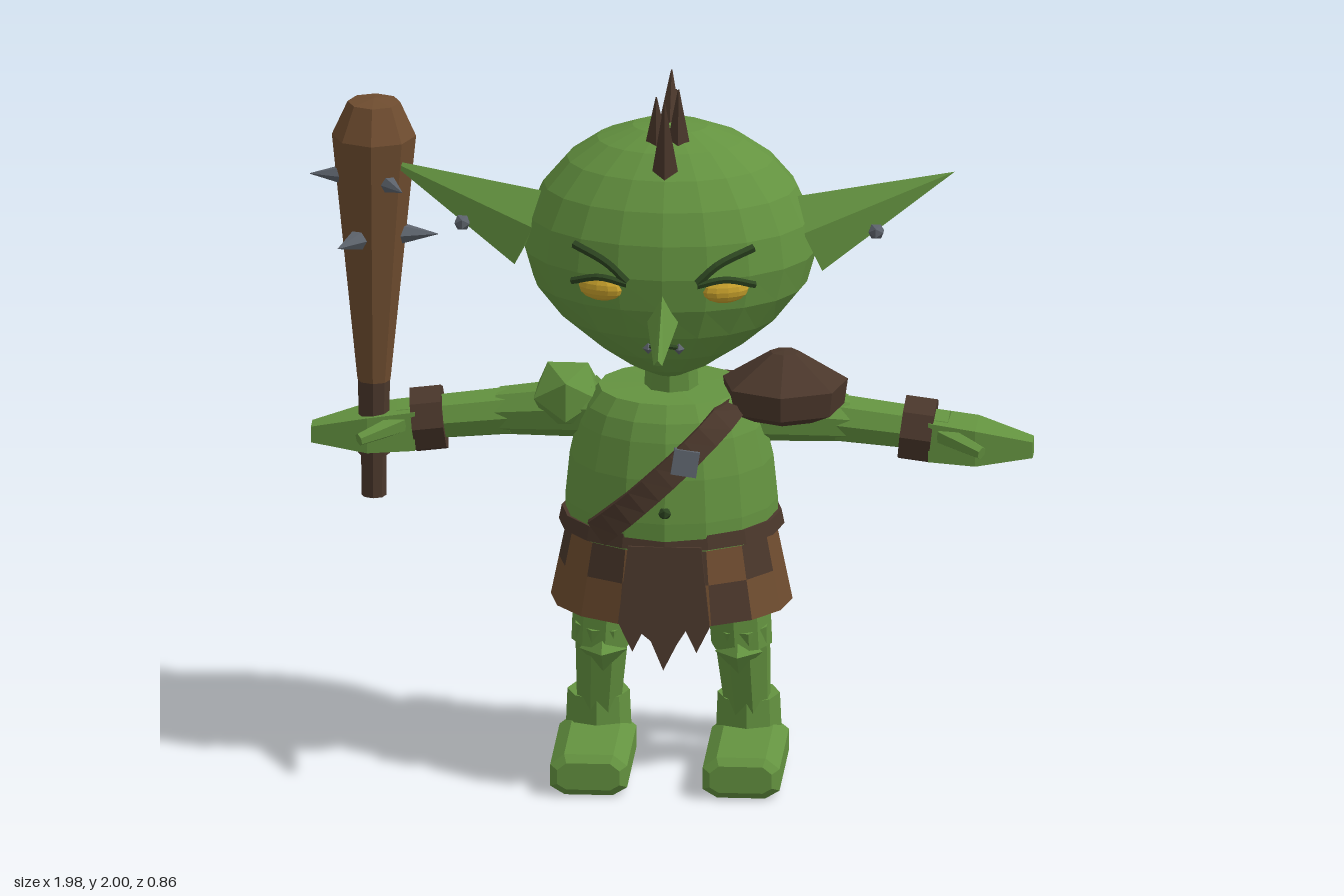
import * as THREE from 'three';
import { ConvexGeometry } from 'three/addons/geometries/ConvexGeometry.js';

const V = (x, y, z) => new THREE.Vector3(x, y, z);

function makeMaterial(name, color, side = THREE.FrontSide) {
  const m = new THREE.MeshStandardMaterial({ color, flatShading: true, side });
  m.name = name;
  return m;
}

// Head surface: an egg that narrows toward the chin
const HEAD = { y: 1.51, z: -0.05, rx: 0.4, ry: 0.36, rz: 0.315 };
const jaw = (v) => (v < 0 ? 1 - 0.5 * v * v : 1);
function onHead(x, y, lift = 0.004) {
  const v = (y - HEAD.y) / HEAD.ry, u = x / (HEAD.rx * jaw(v));
  return V(x, y, HEAD.z + HEAD.rz * Math.sqrt(Math.max(0, 1 - u * u - v * v)) + lift);
}

// Torso profile: radius and height
const TORSO = [[0.29, 0.7], [0.29, 0.78], [0.278, 0.9], [0.255, 1.0], [0.235, 1.05], [0.2, 1.095], [0, 1.1]];
const TORSO_Z = -0.108, TORSO_DEPTH = 0.94;
function torsoRadius(y) {
  for (let i = 0; i < TORSO.length - 1; i++) {
    const [r0, y0] = TORSO[i], [r1, y1] = TORSO[i + 1];
    if (y <= y1) return r0 + (r1 - r0) * (y - y0) / (y1 - y0);
  }
  return 0.1;
}

export function createModel() {
  const root = new THREE.Group();
  root.name = 'goblin';
  const green = makeMaterial('skin green', 0x649340);
  const darkGreen = makeMaterial('dark green', 0x2c4420);
  const brown = makeMaterial('wood brown', 0x6e4c2f, THREE.DoubleSide);
  const leather = makeMaterial('dark leather', 0x4a372b, THREE.DoubleSide);
  const metal = makeMaterial('grey metal', 0x5c626b);
  const gold = makeMaterial('eye gold', 0xc9a22c);

  function add(parent, name, geometry, material, pos = [0, 0, 0]) {
    const mesh = new THREE.Mesh(geometry, material);
    mesh.name = name;
    mesh.position.set(...pos);
    parent.add(mesh);
    return mesh;
  }
  // Tapered cylinder between two points
  function limb(parent, name, a, b, ra, rb, material, sides = 8) {
    const d = b.clone().sub(a);
    const mesh = add(parent, name, new THREE.CylinderGeometry(rb, ra, d.length(), sides), material);
    mesh.position.copy(a).addScaledVector(d, 0.5);
    mesh.quaternion.setFromUnitVectors(V(0, 1, 0), d.normalize());
    return mesh;
  }
  function tube(parent, name, points, r, material) {
    return add(parent, name, new THREE.TubeGeometry(new THREE.CatmullRomCurve3(points), 8, r, 5), material);
  }

  // Head
  const headGeo = new THREE.SphereGeometry(1, 20, 12);
  const p = headGeo.attributes.position;
  for (let i = 0; i < p.count; i++) {
    const v = p.getY(i);
    p.setXYZ(i, p.getX(i) * HEAD.rx * jaw(v), v * HEAD.ry, p.getZ(i) * HEAD.rz);
  }
  add(root, 'head', headGeo, green, [0, HEAD.y, HEAD.z]);
  limb(root, 'neck', V(0, 1.05, -0.1), V(0, 1.2, -0.09), 0.075, 0.07, green);
  add(root, 'nose', new ConvexGeometry([
    V(-0.045, 1.39, 0.22), V(0.045, 1.39, 0.22), V(0, 1.48, 0.24), V(0, 1.37, 0.2),
    V(-0.012, 1.32, 0.425), V(0.012, 1.32, 0.425), V(0, 1.335, 0.43)]), green);
  tube(root, 'mouth', [-0.045, 0, 0.045].map((x) => onHead(x, x ? 1.3 : 1.308)), 0.007, darkGreen);

  // Hair spikes: base then tip
  const spikes = [
    [0, 1.77, 0.13, 0, 1.985, 0.165], [-0.03, 1.8, 0.04, -0.03, 1.97, 0.06], [0.03, 1.8, 0.04, 0.03, 1.99, 0.05],
    [0, 1.82, -0.05, 0, 1.995, -0.11], [0, 1.75, -0.21, 0, 1.88, -0.29]];
  for (const [a, b, c, d, e, f] of spikes) limb(root, 'hairSpike', V(a, b, c), V(d, e, f), 0.04, 0.002, leather, 5);

  // Torso, navel, belt
  const torso = add(root, 'torso', new THREE.LatheGeometry(TORSO.map(([r, y]) => new THREE.Vector2(r, y)), 16), green, [0, 0, TORSO_Z]);
  torso.scale.z = TORSO_DEPTH;
  add(root, 'navel', new THREE.IcosahedronGeometry(0.02, 0), darkGreen, [0, 0.81, 0.155]);
  const belt = add(root, 'belt', new THREE.CylinderGeometry(0.3, 0.308, 0.04, 16), leather, [0, 0.725, TORSO_Z]);
  belt.scale.z = 0.9;

  // Patchwork skirt: one group per quad
  const skirtGeo = new THREE.CylinderGeometry(0.285, 0.33, 0.22, 16, 2, true);
  skirtGeo.clearGroups();
  for (let x = 0; x < 16; x++) {
    for (let y = 0; y < 2; y++) {
      skirtGeo.addGroup((x * 2 + y) * 6, 6, (x + y) % 2 === 0 && x % 5 !== 3 ? 1 : 0);
    }
  }
  add(root, 'skirt', skirtGeo, [brown, leather], [0, 0.6, TORSO_Z]).scale.z = 0.86;

  // Ragged flaps, front and back
  const rag = new THREE.Shape([[-0.1, 0], [0.1, 0], [0.125, -0.22], [0.09, -0.29], [0.06, -0.23], [0.035, -0.27], [0, -0.34],
    [-0.035, -0.26], [-0.06, -0.24], [-0.085, -0.29], [-0.125, -0.21]].map(([x, y]) => new THREE.Vector2(x, y)));
  const ragGeo = new THREE.ExtrudeGeometry(rag, { depth: 0.016, bevelEnabled: false });
  ragGeo.rotateX(-0.14).translate(0, 0.715, 0.262);
  for (const turn of [0, Math.PI]) add(root, turn ? 'backFlap' : 'frontFlap', ragGeo, leather, [0, 0, TORSO_Z]).rotation.y = turn;

  // Shoulder strap following the torso, front and back
  function strap(name, sign, lowX) {
    const pos = [], index = [], n = 10;
    const a = V(0.19, 1.09, 0), b = V(lowX, 0.735, 0);
    const side = V(-(b.y - a.y), b.x - a.x, 0).normalize().multiplyScalar(0.036);
    for (let i = 0; i <= n; i++) {
      const c = a.clone().lerp(b, i / n);
      for (const [edge, lift] of [[-1, -0.01], [-1, 0.022], [1, 0.022], [1, -0.01]]) {
        const x = c.x + edge * side.x, y = Math.min(1.092, Math.max(0.7, c.y + edge * side.y));
        const r = torsoRadius(y) + lift;
        pos.push(x, y, TORSO_Z + sign * TORSO_DEPTH * Math.sqrt(Math.max(0.0004, r * r - x * x)));
      }
    }
    for (let i = 0; i < n; i++) {
      for (let k = 0; k < 4; k++) {
        const q = i * 4 + k, r = i * 4 + (k + 1) % 4;
        index.push(q, r, q + 4, r, r + 4, q + 4);
      }
    }
    const g = new THREE.BufferGeometry();
    g.setAttribute('position', new THREE.Float32BufferAttribute(pos, 3));
    g.setIndex(index);
    g.computeVertexNormals();
    add(root, name, g, leather);
  }
  strap('frontStrap', 1, -0.19);
  strap('backStrap', -1, -0.19);
  const buckle = add(root, 'buckle', new THREE.BoxGeometry(0.07, 0.07, 0.035), metal, [0.055, 0.955, 0.152]);
  buckle.rotation.set(-0.15, 0.1, -0.15);

  // Left shoulder armour
  const plate = [[0.1, 1.02], [0.165, 1.05], [0.175, 1.12], [0.04, 1.205], [0, 1.21]];
  const guard = add(root, 'shoulderGuard', new THREE.LatheGeometry(plate.map(([r, y]) => new THREE.Vector2(r, y)), 7), leather, [0.31, 0, -0.08]);
  guard.scale.z = 0.92;

  // Chamfered foot block
  const sole = new THREE.Shape([[-0.06, 0.02], [0.06, 0.02], [0.085, 0.035], [0.085, 0.075], [0.06, 0.095], [-0.06, 0.095],
    [-0.085, 0.075], [-0.085, 0.035]].map(([x, y]) => new THREE.Vector2(x, y)));
  const footGeo = new THREE.ExtrudeGeometry(sole, { depth: 0.36, bevelThickness: 0.02, bevelSize: 0.02, bevelSegments: 1 });

  // Paired parts, modelled on +x and mirrored
  for (const s of [1, -1]) {
    const half = new THREE.Group();
    half.name = s > 0 ? 'leftHalf' : 'rightHalf';
    half.scale.x = s;
    root.add(half);

    // Eye, lid and brow
    const eye = add(half, 'eye', new THREE.SphereGeometry(1, 12, 8), gold, [0.17, 1.475, 0.222]);
    eye.scale.set(0.066, 0.036, 0.03);
    eye.rotation.y = 0.35;
    tube(half, 'eyelid', [[0.095, 1.5], [0.17, 1.512], [0.25, 1.487]].map(([x, y]) => onHead(x, y, 0.012)), 0.01, darkGreen);
    tube(half, 'brow', [[0.095, 1.505], [0.15, 1.553], [0.245, 1.59]].map(([x, y]) => onHead(x, y, 0.008)), 0.012, darkGreen);
    add(half, 'fang', new THREE.OctahedronGeometry(0.016), metal).position.copy(onHead(0.042, 1.298));

    // Ear with stud
    add(half, 'ear', new ConvexGeometry([V(0.775, 1.73, -0.08), V(0.35, 1.67, -0.02), V(0.42, 1.47, 0.02),
      V(0.37, 1.58, 0.035), V(0.36, 1.57, -0.045)]), green);
    add(half, 'earStud', new THREE.IcosahedronGeometry(0.024, 0), metal, [0.565, 1.575, -0.015]);

    // Arm
    if (s < 0) add(half, 'shoulder', new THREE.IcosahedronGeometry(0.105, 0), green, [0.285, 1.055, -0.13]);
    limb(half, 'upperArm', V(0.2, 1.02, -0.13), V(0.47, 0.985, -0.185), 0.085, 0.065, green);
    limb(half, 'forearm', V(0.45, 0.985, -0.185), V(0.75, 0.955, -0.175), 0.068, 0.06, green);
    limb(half, 'bracer', V(0.625, 0.965, -0.18), V(0.71, 0.955, -0.178), 0.092, 0.092, leather);
    add(half, 'hand', new ConvexGeometry([[0.7, 0.89, 1, -0.24, -0.1], [0.83, 0.885, 0.985, -0.235, -0.085],
      [0.985, 0.905, 0.95, -0.17, -0.11]].flatMap(([x, y0, y1, z0, z1]) =>
      [V(x, y0, z0), V(x, y1, z0), V(x, y0, z1), V(x, y1, z1)])), green);
    limb(half, 'thumb', V(0.74, 0.965, -0.12), V(0.85, 0.935, -0.05), 0.032, 0.018, green, 6);

    // Leg
    limb(half, 'thigh', V(0.175, 0.62, -0.12), V(0.19, 0.355, -0.125), 0.09, 0.085, green);
    limb(half, 'shin', V(0.19, 0.42, -0.115), V(0.205, 0.13, -0.175), 0.08, 0.062, green);
    add(half, 'knee', new THREE.OctahedronGeometry(0.065), green, [0.185, 0.345, -0.075]);
    add(half, 'calfStrap', new THREE.BoxGeometry(0.12, 0.04, 0.1), leather, [0.2, 0.27, -0.195]);
    limb(half, 'ankle', V(0.205, 0.08, -0.19), V(0.205, 0.195, -0.185), 0.09, 0.085, green);
    add(half, 'foot', footGeo, green, [0.208, 0, -0.205]);
  }

  // Spiked club in the right hand
  const club = new THREE.Group();
  club.name = 'club';
  club.position.set(-0.815, 0, -0.14);
  root.add(club);
  const wood = [[0, 1.08], [0.045, 1.08], [0.115, 1.78], [0.072, 1.875], [0, 1.885]];
  add(club, 'clubHead', new THREE.LatheGeometry(wood.map(([r, y]) => new THREE.Vector2(r, y)), 8), brown);
  limb(club, 'handle', V(0, 0.75, 0), V(0, 1.0, 0), 0.034, 0.036, leather);
  limb(club, 'grip', V(0, 0.98, 0), V(0, 1.1, 0), 0.042, 0.044, leather);
  limb(club, 'pommel', V(0, 0.87, 0), V(0, 0.93, 0), 0.044, 0.044, leather);
  for (let i = 0; i < 6; i++) {
    const angle = i * Math.PI / 3, y = i % 2 ? 1.665 : 1.5;
    const at = (r) => V(Math.cos(angle) * r, y, Math.sin(angle) * r);
    limb(club, 'clubSpike', at(0.075), at(0.175), 0.03, 0.001, metal, 6);
  }
  return root;
}
